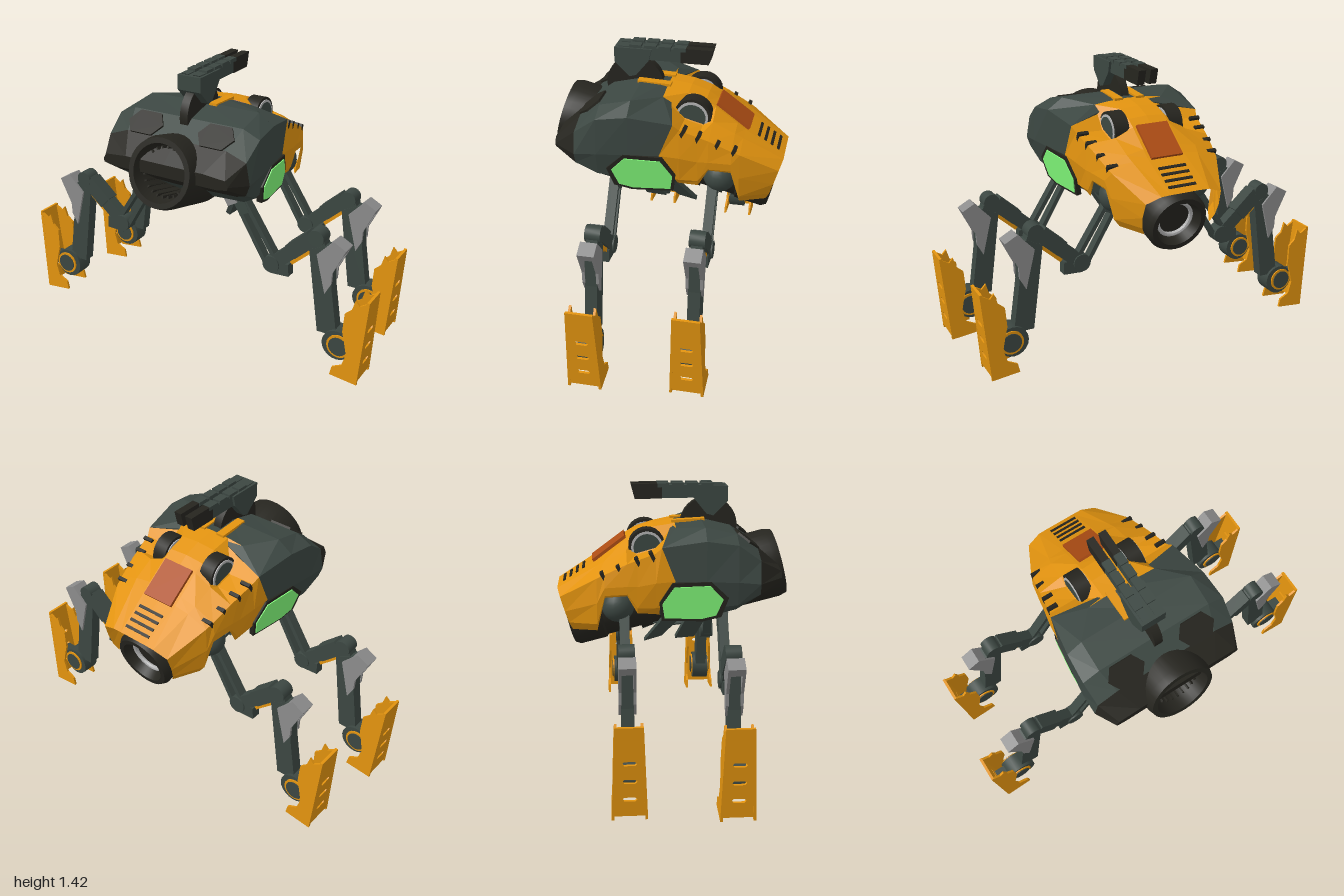
import * as THREE from 'three';
import { toCreasedNormals } from 'three/addons/utils/BufferGeometryUtils.js';

const mat = (color, flatShading = true) =>
  new THREE.MeshStandardMaterial({ color, flatShading, side: THREE.DoubleSide });
const DARK = mat(0x3c4742), BLACK = mat(0x26251f), ORANGE = mat(0xe2930f), GREY = mat(0x8c8c8c);
const GREEN = mat(0x84ff7c), RUST = mat(0xac4c14), STEEL = mat(0xb4b4b4);
const BLACK_SMOOTH = mat(0x26251f, false), DARK_SMOOTH = mat(0x3c4742, false);

function add(parent, name, geo, material, x = 0, y = 0, z = 0) {
  const m = new THREE.Mesh(geo, material);
  m.name = name;
  m.position.set(x, y, z);
  parent.add(m);
  return m;
}
const box = (x, y, z) => new THREE.BoxGeometry(x, y, z);
const smooth = (geo) => toCreasedNormals(geo, 0.6);
const cylX = (r, w, n = 24) => smooth(new THREE.CylinderGeometry(r, r, w, n).rotateZ(Math.PI / 2));
const cylZ = (r, w, n = 20) => smooth(new THREE.CylinderGeometry(r, r, w, n).rotateX(Math.PI / 2));

// Outline in x,y extruded along z, centred
function prism(points, depth, holes = []) {
  const toVec = (p) => new THREE.Vector2(p[0], p[1]);
  const shape = new THREE.Shape(points.map(toVec));
  holes.forEach((h) => shape.holes.push(new THREE.Path(h.map(toVec))));
  return new THREE.ExtrudeGeometry(shape, { depth, bevelEnabled: false }).translate(0, 0, -depth / 2);
}
// Outline in z,y extruded along x, centred
const sidePrism = (points, depth, holes) => prism(points, depth, holes).rotateY(-Math.PI / 2);

// Bar between two points in the x,y plane
function bar(parent, name, a, b, width, depth, material, z = 0) {
  const dx = b[0] - a[0], dy = b[1] - a[1];
  const m = add(parent, name, box(Math.hypot(dx, dy), width, depth), material, (a[0] + b[0]) / 2, (a[1] + b[1]) / 2, z);
  m.rotation.z = Math.atan2(dy, dx);
}

// Skin over half cross-sections (top centre to bottom), mirrored in x, ordered front to back
function loft(halves, open) {
  const n = halves[0].length;
  const rings = halves.map((h) =>
    h.concat(h.filter((p) => p[0] > 0).reverse().map(([x, y, z]) => [-x, y, z])));
  const size = rings[0].length, last = (rings.length - 1) * size, index = [];
  for (let i = 0; i < rings.length - 1; i++)
    for (let j = 0; j < size; j++) {
      if (open && j === n - 1) continue;
      const a = i * size + j, b = i * size + (j + 1) % size;
      index.push(a, b, a + size, b, b + size, a + size);
    }
  if (!open)
    for (let j = 1; j < size - 1; j++) index.push(0, j + 1, j, last, last + j, last + j + 1);
  const geo = new THREE.BufferGeometry();
  geo.setAttribute('position', new THREE.Float32BufferAttribute(rings.flat(2), 3));
  geo.setIndex(index);
  geo.computeVertexNormals();
  return geo;
}

function buildHull(root) {
  const at = (z, pts) => pts.map(([x, y]) => [x, y, z]);
  const seam = [[0.19, 1.215, 0], [0.355, 1.145, -0.08], [0.365, 0.98, -0.015], [0.33, 0.84, -0.09], [0.27, 0.79, -0.09]];
  const brow = at(0.4, [[0, 1.12], [0.28, 1.12], [0.39, 1.08], [0.41, 0.97], [0.39, 0.915], [0.34, 0.9], [0, 0.89]]);
  // Nose and armoured front shell
  add(root, 'nose', loft([
    at(0.51, [[0, 1.03], [0.22, 1.03], [0.34, 1.02], [0.355, 0.99], [0.35, 0.975], [0.3, 0.965], [0, 0.965]]), brow]), BLACK);
  add(root, 'frontShell', loft([
    brow,
    at(0.29, [[0, 1.2], [0.31, 1.2], [0.4, 1.16], [0.41, 0.98], [0.38, 0.86], [0.32, 0.825], [0, 0.81]]),
    at(0.135, [[0, 1.238], [0.31, 1.235], [0.39, 1.18], [0.39, 0.98], [0.355, 0.84], [0.3, 0.78], [0, 0.74]]),
    [[0, 1.23, 0], ...seam, [0, 0.72, -0.09]],
  ]), DARK);
  // Rear hood, open below, dipped at the wheels and notched around the hips
  add(root, 'rearHood', loft([
    [[0, 1.23, 0], [0.1, 1.225, 0], ...seam],
    at(-0.11, [[0, 1.215], [0.1, 1.208], [0.2, 1.11], [0.342, 1.115], [0.355, 0.97], [0.33, 0.84], [0.29, 0.8]]),
    at(-0.2, [[0, 1.185], [0.1, 1.178], [0.2, 1.085], [0.328, 1.08], [0.337, 0.95], [0.325, 0.84], [0.31, 0.81]]),
    at(-0.25, [[0, 1.15], [0.1, 1.147], [0.195, 1.105], [0.32, 1.06], [0.33, 0.95], [0.325, 0.91], [0.315, 0.9]]),
    at(-0.36, [[0, 1.068], [0.1, 1.066], [0.19, 1.05], [0.3, 1.005], [0.31, 0.94], [0.305, 0.9], [0.3, 0.89]]),
    at(-0.4, [[0, 1.037], [0.1, 1.035], [0.18, 1.025], [0.29, 0.985], [0.295, 0.86], [0.28, 0.75], [0.25, 0.71]]),
    [[0, 0.907, -0.6], [0.08, 0.907, -0.6], [0.13, 0.905, -0.6], [0.205, 0.875, -0.585], [0.21, 0.8, -0.562], [0.2, 0.74, -0.543], [0.18, 0.7, -0.525]],
  ], true), ORANGE);
  // Top hatch and rear vents
  add(root, 'topHatch', box(0.17, 0.05, 0.205), RUST, 0, 1.08, -0.325).rotation.x = -0.636;
  for (let i = 0; i < 4; i++) {
    const z = -0.465 - i * 0.033;
    add(root, 'rearVent', box(0.15, 0.012, 0.014), BLACK, 0, 1.029 + (z + 0.41) * 0.647, z).rotation.x = -0.575;
  }
  // Brow panels: six-sided plates on the front slope
  const hex = [[-0.1, 0], [-0.06, 0.065], [0.06, 0.065], [0.1, 0], [0.06, -0.065], [-0.06, -0.065]];
  for (const s of [1, -1]) {
    add(root, 'browPanel', prism(hex, 0.02), BLACK, s * 0.2, 1.155, 0.352).rotation.x = 0.65 - Math.PI / 2;
    // Side windows with frames, leaning in at the bottom
    const side = new THREE.Group();
    side.name = 'sideWindow';
    side.position.set(s * 0.362, 0.97, 0);
    side.rotation.set(0, s * 0.12, -s * 0.17);
    root.add(side);
    add(side, 'windowFrame', sidePrism([[0.245, 0.9], [0.16, 0.985], [-0.03, 0.975], [-0.095, 0.87], [-0.085, 0.775], [0.12, 0.775], [0.21, 0.8]], 0.026), BLACK, 0, -0.97);
    add(side, 'windowPane', sidePrism([[0.22, 0.895], [0.155, 0.965], [-0.02, 0.955], [-0.08, 0.865], [-0.07, 0.79], [0.115, 0.79], [0.185, 0.81]], 0.036), GREEN, 0, -0.97);
    // Slots wrapped over the hood edge
    [[0.316, 1.09, -0.12], [0.304, 1.06, -0.19], [0.288, 1.02, -0.28], [0.274, 0.985, -0.36]].forEach(([x, y, z]) => {
      add(root, 'hoodSlot', box(0.055, 0.07, 0.018), BLACK, s * x, y, z).rotation.x = -0.5;
    });
    // Wheels set into the hood
    add(root, 'hoodWheel', cylX(0.094, 0.075), BLACK_SMOOTH, s * 0.15, 1.118, -0.145);
    add(root, 'hoodWheelRim', cylX(0.08, 0.085), STEEL, s * 0.15, 1.118, -0.145);
    add(root, 'hoodWheelHub', cylX(0.068, 0.09), DARK, s * 0.15, 1.118, -0.145);
    // Tongue beside the turret
    add(root, 'hoodTongue', box(0.045, 0.03, 0.17), ORANGE, s * 0.06, 1.226, 0.07).rotation.x = -0.05;
    // Belly fins, leaning in towards the barrel
    [[[0.17, 0.11], [0.1, -0.07], [0, -0.08], [0.07, 0.11]], [[0.04, 0.09], [-0.07, -0.06], [-0.16, -0.095], [-0.05, 0.09]]].forEach((p) => {
      add(root, 'bellyFin', sidePrism(p, 0.025), DARK, s * 0.15, 0.7).rotation.z = -s * 0.5;
    });
  }
}

function buildBarrel(root) {
  const g = new THREE.Group();
  g.name = 'barrel';
  g.position.y = 0.8625;
  g.rotation.x = -0.246;
  root.add(g);
  // Core tube with a deep front mouth and rear nozzle
  const profile = [[0, -0.5], [0.09, -0.5], [0.12, -0.565], [0.145, -0.565], [0.16, -0.54], [0.16, -0.4], [0.148, -0.39], [0.148, 0.2],
    [0.172, 0.21], [0.182, 0.24], [0.182, 0.53], [0.172, 0.568], [0.145, 0.568], [0.135, 0.5], [0.122, 0.47], [0.115, 0.2], [0, 0.2]];
  add(g, 'coreTube', smooth(new THREE.LatheGeometry(profile.map((p) => new THREE.Vector2(...p)), 32).rotateX(Math.PI / 2)), BLACK_SMOOTH);
  add(g, 'nozzleRing', new THREE.TorusGeometry(0.092, 0.012, 8, 32), STEEL, 0, 0, -0.51);
  [-0.3, -0.18, -0.06, 0.06].forEach((z) => add(g, 'tubeBand', cylZ(0.16, 0.06, 32), BLACK_SMOOTH, 0, 0, z));
  for (let i = 0; i < 24; i++) {
    const a = (i / 24) * Math.PI * 2;
    add(g, 'mouthRib', box(0.014, 0.008, 0.2), BLACK, Math.cos(a) * 0.122, Math.sin(a) * 0.122, 0.41).rotation.z = a;
  }
}

function buildTurret(root) {
  const g = new THREE.Group();
  g.name = 'turret';
  root.add(g);
  add(g, 'turretDisc', cylX(0.147, 0.045, 32), BLACK_SMOOTH, 0, 1.2, 0.18);
  add(g, 'turretBracket', sidePrism([[0.275, 1.405], [0.085, 1.405], [0.1, 1.345], [0.165, 1.265], [0.2, 1.255], [0.275, 1.33]], 0.13), DARK);
  for (const s of [1, -1]) {
    add(g, 'gunRail', sidePrism([[0.26, 1.41], [-0.07, 1.41], [-0.07, 1.345], [0.2, 1.345]], 0.038), DARK, s * 0.033);
    add(g, 'gunMuzzle', sidePrism([[-0.06, 1.418], [-0.22, 1.418], [-0.2, 1.342], [-0.06, 1.342]], 0.04), BLACK, s * 0.033);
    for (let i = 0; i < 4; i++) add(g, 'railBlock', box(0.044, 0.02, 0.06), DARK, s * 0.033, 1.41, 0.17 - i * 0.075);
  }
}

function buildFoot(leg) {
  const g = new THREE.Group();
  g.name = 'foot';
  leg.add(g);
  // Slotted outer plate
  const slot = (y) => [[-0.035, y], [-0.025, y - 0.01], [0.025, y - 0.01], [0.035, y], [0.025, y + 0.01], [-0.025, y + 0.01]];
  const plate = add(g, 'footPlate', sidePrism([[-0.082, 0.01], [0.082, 0.01], [0.066, 0.452], [-0.066, 0.452]], 0.014,
    [slot(0.095), slot(0.185), slot(0.275)]), ORANGE, 0.958, 0.01);
  plate.rotation.z = -0.078;
  // Side flanges, cut away around the ankle
  const flange = [[1, 0.46], [0.965, 0], [0.82, 0.015], [0.83, 0.06], [0.88, 0.085], [0.9, 0.15], [0.885, 0.22], [0.872, 0.27],
    [0.878, 0.37], [0.912, 0.4], [0.928, 0.455], [0.95, 0.43]];
  for (const s of [1, -1]) {
    add(g, 'footFlange', prism(flange, 0.012), ORANGE, 0, 0, s * 0.077).rotation.x = -s * 0.038;
  }
  // Ankle wheel
  add(g, 'ankleWheel', cylZ(0.08, 0.09), DARK_SMOOTH, 0.835, 0.165);
  add(g, 'ankleRing', cylZ(0.062, 0.104), ORANGE, 0.845, 0.165);
  add(g, 'ankleHub', cylZ(0.05, 0.112), DARK, 0.845, 0.165);
  bar(g, 'footMount', [0.85, 0.165], [0.965, 0.165], 0.06, 0.06, DARK);
}

function buildLeg(root, s, front) {
  const leg = new THREE.Group();
  leg.name = front ? 'frontLeg' : 'backLeg';
  leg.position.set(s * (front ? 0 : -0.05), 0, front ? 0.225 : -0.265);
  leg.scale.x = s;
  root.add(leg);
  // Hip
  if (!front) add(leg, 'hipBall', new THREE.SphereGeometry(0.083, 20, 14), DARK_SMOOTH, 0.27, 0.83, -0.03);
  bar(leg, 'hip', [0.22, 0.89], [0.3, 0.74], 0.06, 0.052, DARK);
  bar(leg, 'hipSleeve', [0.18, 0.88], [0.235, 0.78], 0.06, 0.07, GREY);
  // Twin thigh struts
  for (const o of [-1, 1]) bar(leg, 'thighStrut', [0.265 + o * 0.022, 0.81 + o * 0.012], [0.45 + o * 0.028, 0.51 + o * 0.015], 0.022, 0.048, DARK);
  // Elbow, arm and knee
  add(leg, 'elbow', cylZ(0.045, 0.07), DARK_SMOOTH, 0.455, 0.505);
  bar(leg, 'elbowLink', [0.45, 0.485], [0.55, 0.49], 0.065, 0.05, DARK);
  bar(leg, 'arm', [0.47, 0.515], [0.69, 0.71], 0.07, 0.055, DARK);
  bar(leg, 'armCover', [0.56, 0.6], [0.67, 0.7], 0.08, 0.072, DARK);
  bar(leg, 'armStripe', [0.56, 0.535], [0.66, 0.625], 0.02, 0.04, ORANGE);
  add(leg, 'knee', cylZ(0.042, 0.076), DARK_SMOOTH, 0.695, 0.71);
  bar(leg, 'kneeLink', [0.695, 0.71], [0.73, 0.6], 0.07, 0.056, DARK);
  // Shin between two guard cheeks joined by a cap
  add(leg, 'shin', prism([[0.66, 0.64], [0.72, 0.205], [0.825, 0.205], [0.785, 0.47], [0.78, 0.67], [0.74, 0.68]], 0.06), DARK);
  for (const z of [-1, 1])
    add(leg, 'shinGuard', prism([[0.855, 0.685], [0.79, 0.72], [0.705, 0.63], [0.755, 0.43], [0.787, 0.49], [0.79, 0.55]], 0.014), GREY, 0, 0, z * 0.034);
  add(leg, 'shinGuardCap', prism([[0.855, 0.685], [0.79, 0.72], [0.75, 0.675], [0.836, 0.648]], 0.07), GREY);
  buildFoot(leg);
}

export function createModel() {
  const root = new THREE.Group();
  root.name = 'walker';
  buildHull(root);
  buildBarrel(root);
  buildTurret(root);
  for (const s of [1, -1]) for (const front of [true, false]) buildLeg(root, s, front);
  return root;
}
